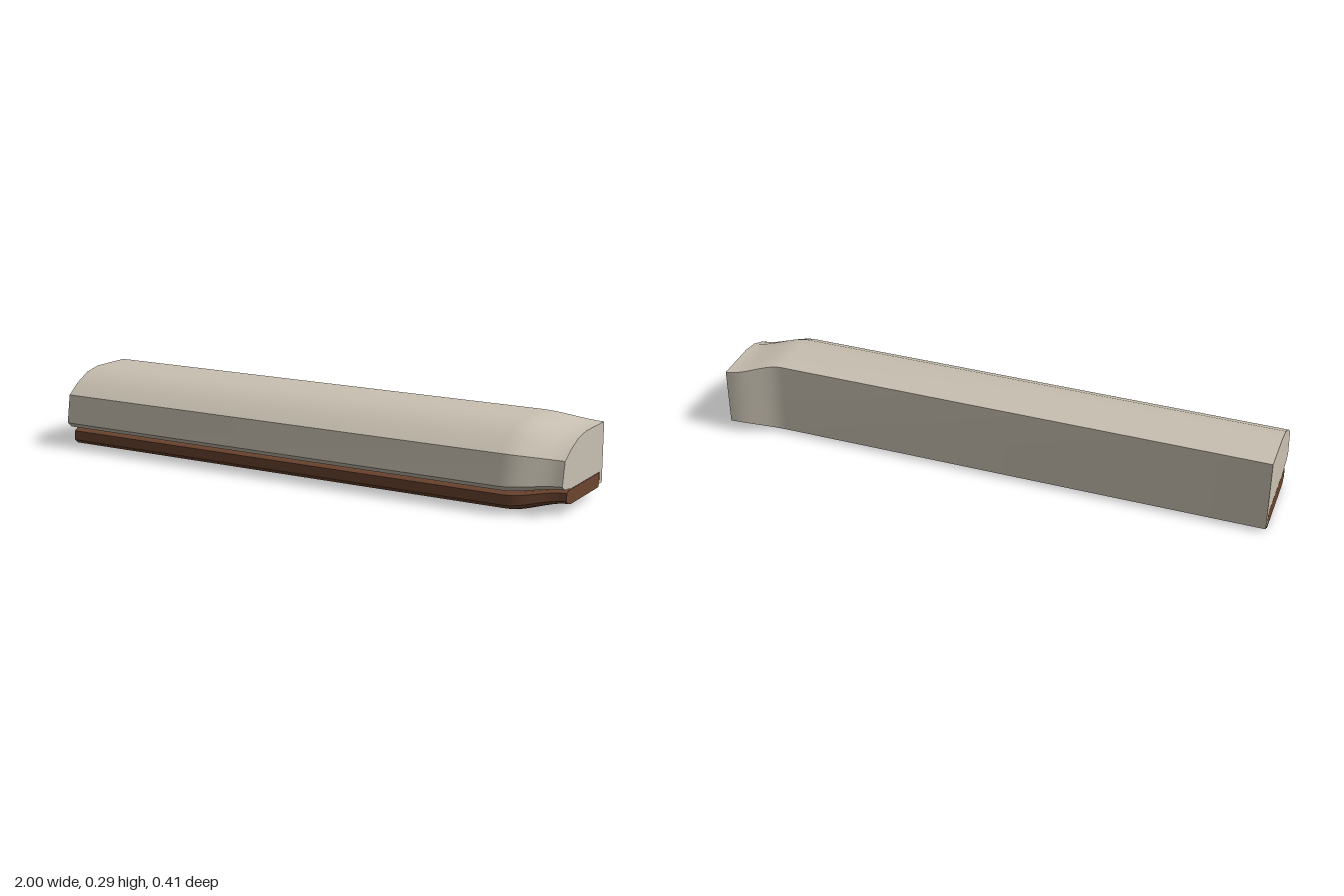
import * as THREE from 'three';
import { toCreasedNormals } from 'three/addons/utils/BufferGeometryUtils.js';

const TIP_STEPS = 10;

// Runs a [z, y] cross-section along x: straight to x = 0.8, then an S-curve
// that moves it backwards and flattens it towards x = 1.
function sweep(profile, name, material) {
  const shape = new THREE.Shape(profile.map(([z, y]) => new THREE.Vector2(-z, y)));
  const steps = TIP_STEPS + 1;
  const geometry = new THREE.ExtrudeGeometry(shape, { depth: 1, steps, bevelEnabled: false });
  const p = geometry.attributes.position;
  for (let i = 0; i < p.count; i++) {
    const t = p.getZ(i) * steps;
    const x = t < 1 ? -1 + 1.8 * t : 0.8 + (0.2 * (t - 1)) / TIP_STEPS;
    const s = THREE.MathUtils.smoothstep(x, 0.8, 1);
    const y = THREE.MathUtils.lerp(p.getY(i), 0.033 + 0.78 * p.getY(i), s);
    p.setXYZ(i, x, y, -p.getX(i) - 0.052 * s);
  }
  const mesh = new THREE.Mesh(toCreasedNormals(geometry, 0.55), material);
  mesh.name = name;
  return mesh;
}

export function createModel() {
  const cream = new THREE.MeshStandardMaterial({ name: 'warm cream', color: 0xc9c1b2 });
  const brown = new THREE.MeshStandardMaterial({ name: 'dark brown', color: 0x6c452f });
  const group = new THREE.Group();
  group.name = 'contouredRail';

  // Rounded shell with a front lip, a recess below and a back wall
  group.add(sweep([
    [-0.15, 0.288], [-0.15, 0.016], [-0.126, 0.016], [-0.126, 0.069],
    [0.135, 0.069], [0.142, 0.074], [0.18, 0.078], [0.203, 0.097],
    [0.186, 0.203], [0.138, 0.241], [0.077, 0.274], [0.013, 0.288],
  ], 'shell', cream));

  // Insert strip in the recess, with a rounded front edge
  group.add(sweep([
    [-0.123, 0.067], [-0.123, 0.002], [0.125, 0.002], [0.148, 0.009],
    [0.163, 0.023], [0.162, 0.058], [0.147, 0.067],
  ], 'insertStrip', brown));

  return group;
}
